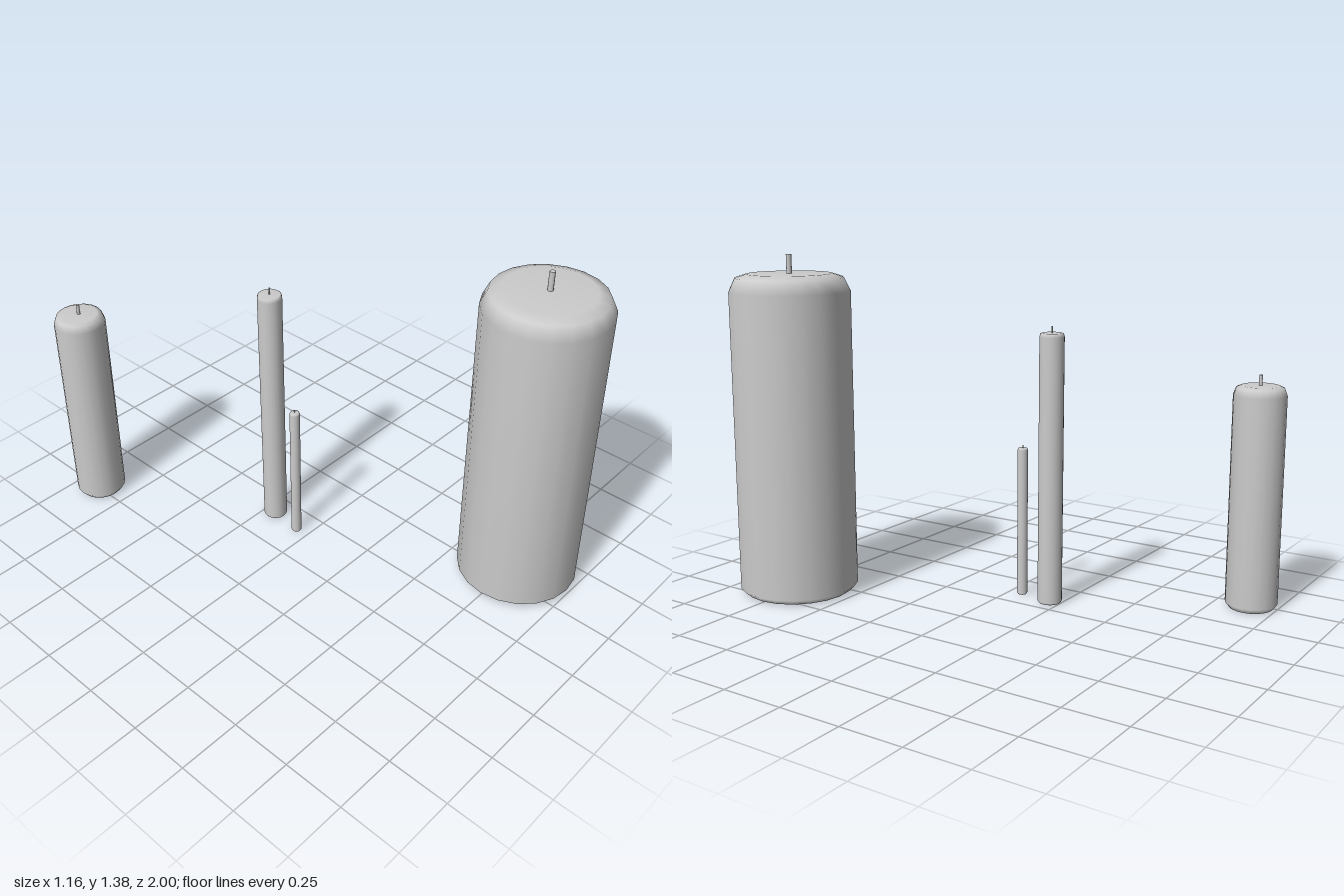
import * as THREE from 'three';

const SIDES = 20;
const material = new THREE.MeshStandardMaterial({ color: 0xcccccc, side: THREE.DoubleSide });

// Each pillar: position, outer radius, height, flat top radius, shoulder drop, foot bevel, hole radius, wick
const candles = [
  { name: 'largeCandle', x: 0.34, z: 0.757, r: 0.241, h: 1.3, flat: 0.17, drop: 0.07, footR: 0.217, foot: 0.022, hole: 0.163, wickR: 0.011, wickTop: 1.375 },
  { name: 'shortCandle', x: -0.48, z: -0.897, r: 0.103, h: 0.89, flat: 0.073, drop: 0.037, footR: 0.088, foot: 0.02, hole: 0.07, wickR: 0.007, wickTop: 0.931 },
  { name: 'tallCandle', x: -0.083, z: -0.203, r: 0.049, h: 1.085, flat: 0.041, drop: 0.015, footR: 0.044, foot: 0.008, hole: 0.032, wickR: 0.003, wickTop: 1.112 },
  { name: 'thinCandle', x: -0.105, z: -0.058, r: 0.021, h: 0.612, flat: 0.014, drop: 0.008, footR: 0.017, foot: 0.006, hole: 0.012, wickR: 0.002, wickTop: 0.623 },
];

function createCandle(c) {
  const group = new THREE.Group();
  group.name = c.name;
  group.position.set(c.x, 0, c.z);

  const add = (geometry, name) => {
    const mesh = new THREE.Mesh(geometry, material);
    mesh.name = name;
    group.add(mesh);
    return mesh;
  };

  // Hollow wax shell with a bevelled foot and rounded shoulder
  const shoulder = c.flat + (c.r - c.flat) * 0.64;
  const profile = [
    [c.footR, 0], [c.r, c.foot], [c.r, c.h - c.drop],
    [shoulder, c.h - c.drop * 0.22], [c.flat, c.h], [0, c.h],
  ].map(([x, y]) => new THREE.Vector2(x, y));
  add(new THREE.LatheGeometry(profile, SIDES), 'wax');

  // Flat rim around the open underside
  const rim = new THREE.RingGeometry(c.hole, c.footR, SIDES);
  rim.rotateX(Math.PI / 2).rotateY(Math.PI / 2);
  add(rim, 'bottomRim');

  // Wick
  const length = c.wickTop - c.h + 0.004;
  const wick = add(new THREE.CylinderGeometry(c.wickR, c.wickR, length, 10), 'wick');
  wick.position.y = c.wickTop - length / 2;
  return group;
}

export function createModel() {
  const model = new THREE.Group();
  model.name = 'candles';
  for (const c of candles) model.add(createCandle(c));
  return model;
}
